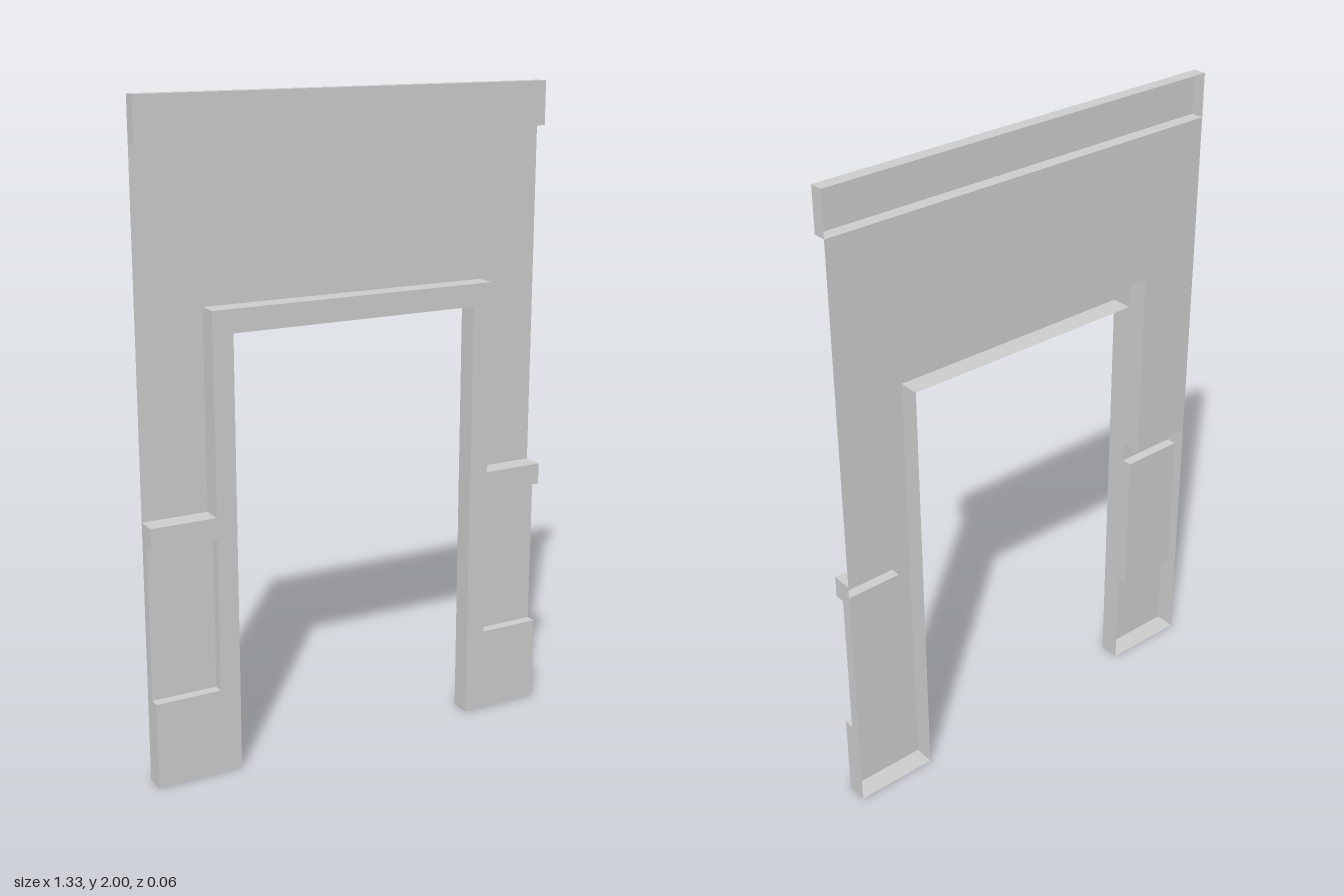
import * as THREE from 'three';

// Depths: open back edge, panel, top band and frame front
const BACK = -0.033, PANEL = 0, BAND = 0.007, FRONT = 0.032;
// Widths: wall half width, opening sides, frame outer sides (right = -x, left = +x)
const W = 0.664, OPEN = { '-1': -0.396, 1: 0.404 }, TRIM = { '-1': -0.46, 1: 0.467 };
// Heights
const SILL = 0.267, RAIL_LOW = 0.737, RAIL_TOP = 0.804;
const DOOR = 1.337, TRIM_TOP = 1.407, BAND_LOW = 1.867, TOP = 2;

const material = new THREE.MeshStandardMaterial({
  color: 0xcccccc, side: THREE.DoubleSide, flatShading: true,
});

export function createModel() {
  const model = new THREE.Group();

  const add = (name, geometry) => {
    const mesh = new THREE.Mesh(geometry, material);
    mesh.name = name;
    model.add(mesh);
  };

  // Flat sheet facing +z
  const sheet = (name, points, z) => {
    const shape = new THREE.Shape(points.map(([x, y]) => new THREE.Vector2(x, y)));
    add(name, new THREE.ShapeGeometry(shape).translate(0, 0, z));
  };

  // Edge strip along a path, running from depth z0 to z1 (outward for counterclockwise paths)
  const edge = (name, path, z0, z1) => {
    const pos = [];
    for (let i = 0; i < path.length - 1; i++) {
      const [ax, ay] = path[i], [bx, by] = path[i + 1];
      pos.push(ax, ay, z0, bx, by, z0, bx, by, z1, ax, ay, z0, bx, by, z1, ax, ay, z1);
    }
    const geometry = new THREE.BufferGeometry();
    geometry.setAttribute('position', new THREE.Float32BufferAttribute(pos, 3));
    geometry.computeVertexNormals();
    add(name, geometry);
  };

  const rect = (x0, y0, x1, y1) => [[x0, y0], [x1, y0], [x1, y1], [x0, y1]];

  // Upper wall around the door frame
  sheet('upperWall', [
    [-W, RAIL_TOP], [TRIM[-1], RAIL_TOP], [TRIM[-1], TRIM_TOP], [TRIM[1], TRIM_TOP],
    [TRIM[1], RAIL_TOP], [W, RAIL_TOP], [W, BAND_LOW], [-W, BAND_LOW],
  ], BACK);

  // Top band with its four edges
  const band = rect(-W, BAND_LOW, W, TOP);
  sheet('topBand', band, BAND);
  edge('topBandEdges', [...band, band[0]], BACK, BAND);

  // Door frame, rails and bases share one front face
  sheet('frameFront', [
    [OPEN[1], 0], [W, 0], [W, SILL], [TRIM[1], SILL], [TRIM[1], RAIL_LOW], [W, RAIL_LOW],
    [W, RAIL_TOP], [TRIM[1], RAIL_TOP], [TRIM[1], TRIM_TOP],
    [TRIM[-1], TRIM_TOP], [TRIM[-1], RAIL_TOP], [-W, RAIL_TOP], [-W, RAIL_LOW],
    [TRIM[-1], RAIL_LOW], [TRIM[-1], SILL], [-W, SILL], [-W, 0], [OPEN[-1], 0],
    [OPEN[-1], DOOR], [OPEN[1], DOOR],
  ], FRONT);
  edge('frameOuterEdge', [
    [W, RAIL_LOW], [W, RAIL_TOP], [TRIM[1], RAIL_TOP], [TRIM[1], TRIM_TOP],
    [TRIM[-1], TRIM_TOP], [TRIM[-1], RAIL_TOP], [-W, RAIL_TOP], [-W, RAIL_LOW],
  ], BACK, FRONT);
  edge('openingEdge', [
    [OPEN[-1], 0], [OPEN[-1], DOOR], [OPEN[1], DOOR], [OPEN[1], 0],
  ], BACK, FRONT);

  // Sunken panels, base edges and end caps on both sides
  for (const s of [-1, 1]) {
    const side = s > 0 ? 'left' : 'right';
    const path = (points) => (s > 0 ? points : points.reverse());
    sheet(side + 'Panel', rect(Math.min(TRIM[s], s * W), SILL, Math.max(TRIM[s], s * W), RAIL_LOW), PANEL);
    edge(side + 'PanelReveal', path([
      [s * W, SILL], [TRIM[s], SILL], [TRIM[s], RAIL_LOW], [s * W, RAIL_LOW],
    ]), PANEL, FRONT);
    edge(side + 'PanelEnd', path([[s * W, SILL], [s * W, RAIL_LOW]]), BACK, PANEL);
    edge(side + 'BaseEdge', path([[OPEN[s], 0], [s * W, 0], [s * W, SILL]]), BACK, FRONT);
  }

  return model;
}
